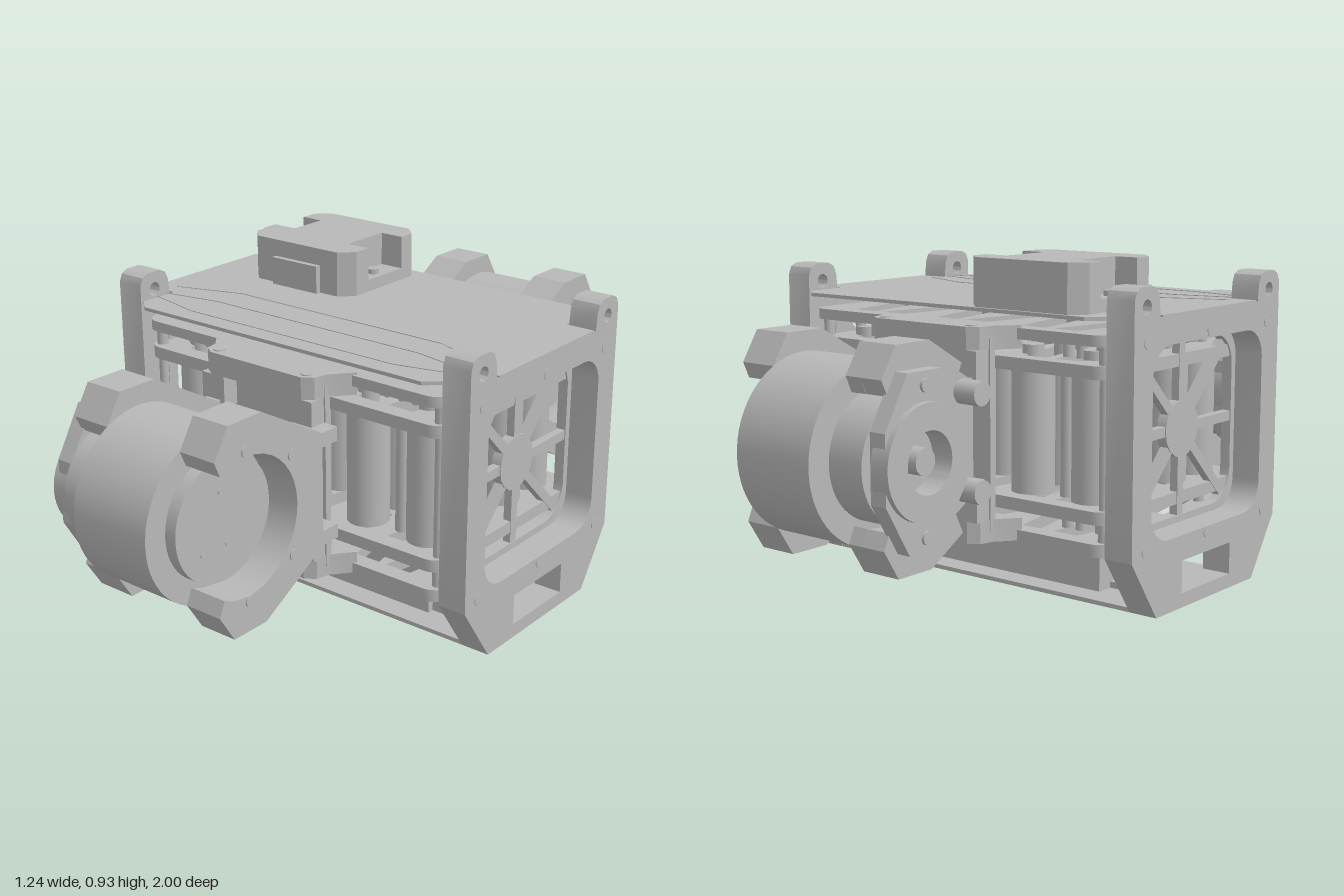
import * as THREE from 'three';
import { toCreasedNormals } from 'three/addons/utils/BufferGeometryUtils.js';

export function createModel() {
  const model = new THREE.Group();
  const grey = new THREE.MeshStandardMaterial({ color: 0xb8b8b8 });
  grey.name = 'machined grey';

  const add = (name, geo, parent = model) => {
    const m = new THREE.Mesh(geo, grey);
    m.name = name;
    parent.add(m);
    return m;
  };
  const group = (name) => {
    const g = new THREE.Group();
    g.name = name;
    model.add(g);
    return g;
  };
  const box = (name, x0, x1, y0, y1, z0, z1, parent) =>
    add(name, new THREE.BoxGeometry(x1 - x0, y1 - y0, z1 - z0)
      .translate((x0 + x1) / 2, (y0 + y1) / 2, (z0 + z1) / 2), parent);
  const rodX = (name, r, x0, x1, y, z, parent, seg = 48) =>
    add(name, new THREE.CylinderGeometry(r, r, x1 - x0, seg).rotateZ(Math.PI / 2)
      .translate((x0 + x1) / 2, y, z), parent);
  const rodY = (name, r, y0, y1, x, z, parent, seg = 24) =>
    add(name, new THREE.CylinderGeometry(r, r, y1 - y0, seg).translate(x, (y0 + y1) / 2, z), parent);

  const poly = (pts, Type = THREE.Shape) => new Type(pts.map(p => new THREE.Vector2(...p)));
  const hole = (shape, pts) => shape.holes.push(poly(pts, THREE.Path));
  const round = (shape, x, y, r) => shape.holes.push(new THREE.Path().absarc(x, y, r, 0, Math.PI * 2, true));
  const chamfered = (x0, x1, y0, y1, c) => [[x0 + c, y0], [x1 - c, y0], [x1, y0 + c], [x1, y1 - c],
    [x1 - c, y1], [x0 + c, y1], [x0, y1 - c], [x0, y0 + c]];
  // rectangle with rounded corners, as points
  const rounded = (x0, x1, y0, y1, r) => {
    const pts = [];
    [[x1 - r, y1 - r], [x0 + r, y1 - r], [x0 + r, y0 + r], [x1 - r, y0 + r]].forEach(([x, y], q) => {
      for (let i = 0; i <= 6; i++) {
        const a = (q + i / 6) * Math.PI / 2;
        pts.push([x + r * Math.cos(a), y + r * Math.sin(a)]);
      }
    });
    return pts;
  };
  const extrude = (shape, depth) =>
    new THREE.ExtrudeGeometry(shape, { depth, bevelEnabled: false, curveSegments: 24 });
  // shape drawn as (-z, y), thickness along x
  const alongX = (name, shape, x0, x1, parent) =>
    add(name, toCreasedNormals(extrude(shape, x1 - x0).rotateY(Math.PI / 2).translate(x0, 0, 0), 0.5), parent);
  // shape drawn as (x, z), thickness along y
  const alongY = (name, shape, y0, y1, parent) =>
    add(name, toCreasedNormals(extrude(shape, y1 - y0).rotateX(Math.PI / 2).translate(0, y1, 0), 0.5), parent);

  // End plates with lifting lugs, a window, a slot and a spoked grille
  for (const s of [-1, 1]) {
    const end = group(s > 0 ? 'leftEnd' : 'rightEnd');
    const half = [[0.24, 0], [0.355, 0.17], [0.355, 0.84], [0.345, 0.862], [0.325, 0.872], [0.275, 0.872],
      [0.255, 0.862], [0.245, 0.84], [0.24, 0.79]];
    const plate = poly([...half, ...half.map(([u, v]) => [-u, v]).reverse()]);
    hole(plate, rounded(-0.27, 0.27, 0.2, 0.715, 0.08));
    hole(plate, [[-0.12, 0.04], [0.12, 0.04], [0.12, 0.13], [-0.12, 0.13]]);
    for (const u of [-0.3, 0.3]) round(plate, u, 0.82, 0.02);
    const span = (a, b) => (s > 0 ? [a, b] : [-b, -a]);
    alongX('endPlate', plate, ...span(0.535, 0.62), end);

    const rim = poly(rounded(-0.285, 0.285, 0.19, 0.73, 0.08));
    hole(rim, rounded(-0.25, 0.25, 0.22, 0.7, 0.09));
    alongX('grilleRim', rim, ...span(0.505, 0.535), end);
    rodX('grilleHub', 0.08, ...span(0.505, 0.535), 0.46, 0, end, 16);
    for (let i = 0; i < 4; i++) {
      const spoke = new THREE.BoxGeometry(0.024, 0.028, i % 2 ? 0.6 : 0.5);
      add('grilleSpoke', spoke.rotateX(i * Math.PI / 4).translate(s * 0.52, 0.46, 0), end);
    }
    for (const [z, y] of [[0.295, 0.73], [0, 0.735], [-0.295, 0.73], [0.295, 0.19], [0, 0.185], [-0.295, 0.19]])
      rodX('screw', 0.017, ...span(0.6, 0.622), y, z, end, 12);
  }

  // Lid and floor sheets
  const lid = poly([[-0.62, -0.23], [-0.53, -0.23], [-0.53, -0.35], [-0.49, -0.39], [0.49, -0.39], [0.53, -0.35],
    [0.53, -0.23], [0.62, -0.23], [0.62, 0.23], [0.53, 0.23], [0.53, 0.35], [0.49, 0.385], [-0.49, 0.385],
    [-0.53, 0.35], [-0.53, 0.23], [-0.62, 0.23]]);
  alongY('lid', lid, 0.785, 0.795);
  for (const [z, bend] of [[0.115, 0.07], [0.215, 0.04], [0.325, -0.04]]) {
    alongY('lidCrease', poly([[-0.56, z + bend], [-0.36, z - 0.004], [0.36, z - 0.004], [0.54, z + bend],
      [0.36, z + 0.004], [-0.36, z + 0.004]]), 0.795, 0.797);
  }
  box('floorSheet', -0.62, 0.62, 0, 0.012, -0.24, 0.24);

  // Low electronics box on the floor
  box('lowerBox', -0.385, 0.37, 0.012, 0.14, -0.17, 0.17);
  box('lowerBoxStep', 0.37, 0.46, 0.012, 0.093, -0.15, 0.15);
  box('lowerBoxFoot', -0.44, 0.5, 0.012, 0.03, -0.12, 0.12);

  // Frame decks with slanted truss slots
  const frame = group('frame');
  for (const [y0, y1, zr] of [[0.165, 0.2, 0.35], [0.25, 0.285, 0.345], [0.63, 0.665, 0.345], [0.715, 0.745, 0.35]]) {
    const deck = poly(rounded(-0.53, 0.53, -zr, zr, 0.05));
    for (const s of [-1, 1])
      for (let i = 0; i < 6; i++) {
        const x = -0.46 + i * 0.155, k = (i % 2 ? 1 : -1) * 0.025, a = s * 0.04, b = s * (zr - 0.05);
        hole(deck, [[x + 0.03 + k, a], [x + 0.11 + k, a], [x + 0.11 - k, b], [x + 0.03 - k, b]]);
      }
    alongY('deck', deck, y0, y1, frame);
  }
  for (const s of [-1, 1])
    for (const [x, z] of [[0.5, 0.31], [0.44, 0.24], [0.375, 0.24], [0.33, 0.24]])
      for (const [y0, y1] of [[0.2, 0.25], [0.665, 0.715]])
        for (const t of [-1, 1]) rodY('spacer', 0.016, y0, y1, s * x, t * z, frame, 12);
  for (const x of [-0.5, 0.5])
    for (const z of [-0.31, 0.31]) rodY('cornerPost', 0.014, 0.285, 0.63, x, z, frame, 12);

  // Cylindrical cells and tie rods between the decks
  const cells = group('cells');
  for (const s of [-1, 1]) {
    for (const x of [-0.415, -0.21, 0, 0.21, 0.415])
      for (const z of [s * 0.24, s * 0.1]) {
        rodY('cell', 0.06, 0.285, 0.63, x, z, cells, 32);
        rodY('cellTerminal', 0.03, 0.63, 0.69, x, z, cells, 16);
      }
    for (const x of [-0.328, 0.328]) rodY('tieRod', 0.02, 0.285, 0.63, x, s * 0.24, cells, 16);
  }

  // Controller box on the lid, notched on both sides
  const controller = group('controller');
  alongY('controllerBase', poly(chamfered(-0.47, -0.085, -0.38, -0.035, 0.04)), 0.795, 0.83, controller);
  alongY('controllerCase', poly([[-0.43, -0.38], [-0.125, -0.38], [-0.085, -0.34], [-0.085, -0.29], [-0.16, -0.29],
    [-0.16, -0.13], [-0.085, -0.13], [-0.085, -0.075], [-0.125, -0.035], [-0.43, -0.035], [-0.47, -0.075],
    [-0.47, -0.13], [-0.4, -0.13], [-0.4, -0.29], [-0.47, -0.29], [-0.47, -0.34]]), 0.83, 0.927, controller);
  box('controllerPort', -0.36, -0.19, 0.795, 0.877, -0.04, -0.018, controller);
  for (const x of [-0.435, -0.122]) rodY('controllerScrew', 0.018, 0.83, 0.845, x, -0.2, controller, 12);

  // Front and rear motors with their brackets
  const cz = 0.762, cy = 0.46;
  for (const s of [1, -1]) {
    const motor = group(s > 0 ? 'frontMotor' : 'rearMotor');
    const side = (pts) => poly(pts.map(([d, y]) => [-s * d, y]));
    const slab = (name, x0, x1, y0, y1, a, b) =>
      box(name, x0, x1, y0, y1, Math.min(s * a, s * b), Math.max(s * a, s * b), motor);

    rodX('motorCan', 0.237, -0.13, 0.125, cy, s * cz, motor, 64);
    rodX('motorCore', 0.17, -0.24, 0.16, cy, s * cz, motor, 64);
    for (const [y, d] of [[0.08, 0.01], [-0.07, 0.08], [-0.07, -0.01]])
      rodX('coreScrew', 0.008, 0.155, 0.163, cy + y, s * (cz + d), motor, 8);

    // C-shaped bracket cheeks, notched at the root
    const arc = [];
    for (let i = 0; i <= 24; i++) {
      const a = -1.08 - (i / 24) * (Math.PI * 2 - 2.16);
      arc.push([cz + 0.19 * Math.cos(a), cy + 0.19 * Math.sin(a)]);
    }
    const cheek = side([[0.47, 0.58], [0.47, 0.34], [0.41, 0.34], [0.41, 0.3], [0.47, 0.3], [0.7, 0.17], [0.82, 0.17],
      [0.87, 0.25], ...arc, [0.87, 0.67], [0.82, 0.75], [0.7, 0.75], [0.47, 0.62], [0.41, 0.62], [0.41, 0.58]]);
    alongX('leftCheek', cheek, 0.126, 0.24, motor);
    alongX('rightCheek', cheek, -0.18, -0.131, motor);
    for (const t of [-1, 1]) {
      alongX('rightClaw', side([[0.58, 0.22], [0.7, 0.29], [0.82, 0.29], [0.87, 0.21], [0.85, 0.168], [0.76, 0.19],
        [0.67, 0.165], [0.62, 0.14]].map(([d, y]) => [d, cy + t * y])), -0.25, -0.18, motor);
      for (const [d, y] of [[0.76, 0.205], [0.59, 0.14]])
        rodX('cheekScrew', 0.016, 0.235, 0.244, cy + t * y, s * d, motor, 12);
      rodX('bracketBoss', 0.033, -0.25, -0.18, cy + t * 0.13, s * 0.5, motor, 24);

      // Hinge pieces joining the bracket to the frame
      const y0 = t > 0 ? 0.69 : 0.17;
      alongY('hingePlate', poly([[-0.25, s * 0.34], [0.25, s * 0.34], [0.2, s * 0.4], [0.19, s * 0.44],
        [0.16, s * 0.46], [-0.16, s * 0.46], [-0.19, s * 0.44], [-0.2, s * 0.4]]), y0, y0 + 0.062, motor);
      for (const x of [-0.155, 0.155]) {
        rodY('hingePin', 0.017, y0 - 0.003, y0 + 0.065, x, s * 0.43, motor, 12);
        slab('hingeKnuckle', x - 0.04, x + 0.04, cy + (t > 0 ? 0.14 : -0.23), cy + (t > 0 ? 0.23 : -0.14), 0.4, 0.46);
      }
    }
    slab('mountPlate', -0.2, 0.2, 0.2, 0.72, 0.39, 0.41);
    slab('mountBlock', -0.14, 0.14, 0.34, 0.58, 0.41, 0.47);

    // Encoder cover: a strip with end lugs under a round collar
    const cover = side([[-0.06, -0.225], [0.06, -0.225], [0.14, -0.09], [0.14, 0.09], [0.06, 0.225], [-0.06, 0.225],
      [-0.14, 0.09], [-0.14, -0.09]].map(([d, y]) => [cz + d, cy + y]));
    round(cover, -s * cz, cy, 0.08);
    alongX('encoderCover', cover, -0.29, -0.24, motor);
    const collar = new THREE.Shape().absarc(-s * cz, cy, 0.15, 0, Math.PI * 2, false);
    round(collar, -s * cz, cy, 0.08);
    alongX('encoderCollar', collar, -0.306, -0.25, motor);
    rodX('encoderShaft', 0.035, -0.29, -0.24, cy, s * cz, motor, 24);
    for (const y of [-0.19, 0.19]) rodX('encoderScrew', 0.018, -0.298, -0.285, cy + y, s * cz, motor, 12);
  }
  return model;
}
